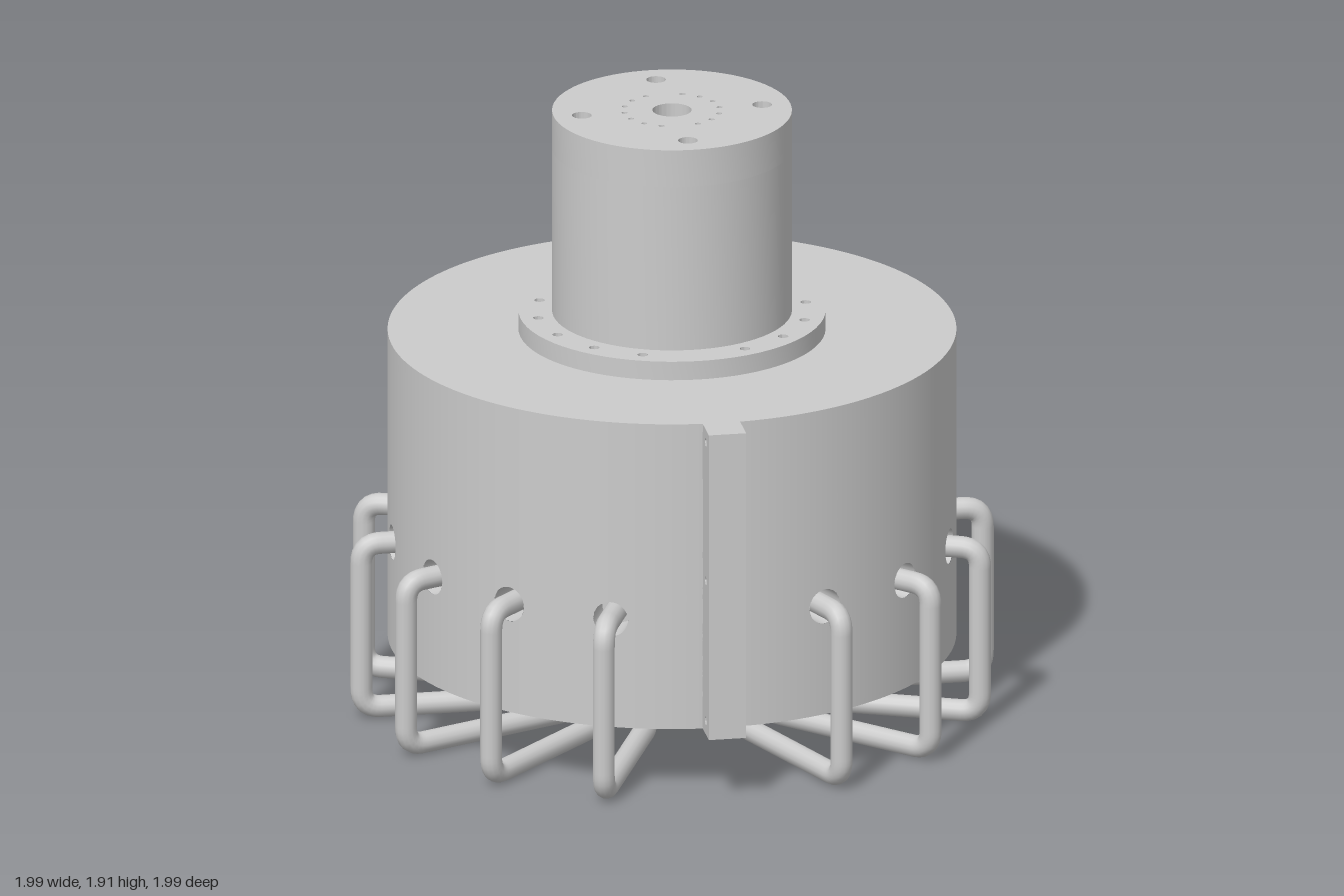
import * as THREE from 'three';
import { toCreasedNormals } from 'three/addons/utils/BufferGeometryUtils.js';

const SLOT = Math.PI / 8;              // 16 slots around the drum
const START = THREE.MathUtils.degToRad(-5.6);
const R = 0.87, BOTTOM = 0.22, TOP = 1.21, BORE = 0.06, PORT_Y = 0.57, PORT_R = 0.055;
const slotAngle = (i) => START + i * SLOT;
const isLug = (i) => i === 6 || i === 14;  // two opposite slots carry lugs
const slots = [...Array(16).keys()];
const coilAngles = slots.filter((i) => !isLug(i)).map(slotAngle);

export function createModel() {
  const model = new THREE.Group();
  const solid = new THREE.MeshStandardMaterial({ color: 0xcccccc });
  const open = new THREE.MeshStandardMaterial({ color: 0xcccccc, side: THREE.DoubleSide });

  const add = (name, geometry, parent = model, material = solid) => {
    const mesh = new THREE.Mesh(geometry, material);
    mesh.name = name;
    parent.add(mesh);
    return mesh;
  };
  const slotGroup = (name, angle) => {
    const group = new THREE.Group();
    group.name = name;
    group.rotation.y = -angle;
    model.add(group);
    return group;
  };
  const addHole = (shape, x, y, r) => shape.holes.push(new THREE.Path().absarc(x, y, r, 0, Math.PI * 2, true));
  // Upright disc with a bore and circles of holes [angles, circle radius, hole radius]
  const drilledDisc = (radius, y0, y1, circles = []) => {
    const shape = new THREE.Shape().absarc(0, 0, radius, 0, Math.PI * 2, false);
    addHole(shape, 0, 0, BORE);
    for (const [angles, cr, hr] of circles)
      for (const a of angles) addHole(shape, cr * Math.cos(a), -cr * Math.sin(a), hr);
    const geo = new THREE.ExtrudeGeometry(shape, { depth: y1 - y0, bevelEnabled: false, curveSegments: 36 });
    geo.rotateX(-Math.PI / 2).translate(0, y0, 0);
    return toCreasedNormals(geo, 0.6);
  };

  // Drum: curved wall with a round port in each slot, closed by two rings
  add('drumWall', drumWall());
  add('drumTop', new THREE.RingGeometry(BORE, R, 192).rotateX(-Math.PI / 2).translate(0, TOP, 0));
  add('drumBottom', new THREE.RingGeometry(BORE, R, 192).rotateX(Math.PI / 2).translate(0, BOTTOM, 0));
  add('centreBore', new THREE.CylinderGeometry(BORE, BORE, TOP - BOTTOM, 48, 1, true)
    .translate(0, (TOP + BOTTOM) / 2, 0), model, open);

  // Bolted flange and tower
  add('flange', drilledDisc(0.47, TOP, 1.27, [[coilAngles, 0.415, 0.016]]));
  add('tower', drilledDisc(0.367, 1.27, 1.8));
  add('towerCap', drilledDisc(0.367, 1.8, 1.92, [
    [coilAngles, 0.148, 0.009],
    [[2, 6, 10, 14].map(slotAngle), 0.28, 0.03],
  ]));

  // Bent pipes looping from the side ports to the underside
  const pipe = new THREE.TubeGeometry(
    roundedPath([[0.73, PORT_Y], [0.965, PORT_Y], [0.965, 0.04], [0.34, 0.04], [0.34, 0.3]], 0.06), 110, 0.034, 14);
  const sleeve = new THREE.CylinderGeometry(PORT_R, PORT_R, 0.13, 32, 1, true)
    .rotateZ(Math.PI / 2).translate(R - 0.066, PORT_Y, 0);
  const sleeveEnd = new THREE.CircleGeometry(PORT_R, 32).rotateY(Math.PI / 2).translate(R - 0.13, PORT_Y, 0);
  for (const angle of coilAngles) {
    const group = slotGroup('coil', angle);
    add('pipe', pipe, group);
    add('portSleeve', sleeve, group, open);
    add('portEnd', sleeveEnd, group);
  }

  // Mounting lugs with three cross holes each
  const profile = new THREE.Shape([[0.8, BOTTOM], [0.975, BOTTOM], [0.975, TOP], [0.8, TOP]]
    .map(([x, y]) => new THREE.Vector2(x, y)));
  for (const y of [0.265, 0.72, 1.17]) addHole(profile, 0.923, y, 0.013);
  const lug = toCreasedNormals(new THREE.ExtrudeGeometry(profile,
    { depth: 0.116, bevelEnabled: false, curveSegments: 12 }).translate(0, 0, -0.058), 0.6);
  for (const i of slots.filter(isLug)) add('mountingLug', lug, slotGroup('lug', slotAngle(i)));

  return model;
}

// Straight runs in the xy plane joined by rounded corners
function roundedPath(points, radius) {
  const p = points.map(([x, y]) => new THREE.Vector3(x, y, 0));
  const path = new THREE.CurvePath();
  let from = p[0];
  for (let i = 1; i < p.length - 1; i++) {
    const toward = (q) => p[i].clone().add(q.clone().sub(p[i]).setLength(radius));
    const a = toward(p[i - 1]), b = toward(p[i + 1]);
    path.add(new THREE.LineCurve3(from, a));
    path.add(new THREE.QuadraticBezierCurve3(a, p[i], b));
    from = b;
  }
  path.add(new THREE.LineCurve3(from, p[p.length - 1]));
  return path;
}

// Each slot is a web of rings from the round port out to the panel's edge, bent round the drum
function drumWall() {
  const N = 12, RINGS = 8, half = SLOT / 2 * R;
  const corners = [[-half, BOTTOM], [half, BOTTOM], [half, TOP], [-half, TOP]];
  const edge = [];
  corners.forEach(([x, y], c) => {
    const [x2, y2] = corners[(c + 1) % 4];
    for (let k = 0; k < N; k++) edge.push([x + (x2 - x) * k / N, y + (y2 - y) * k / N]);
  });
  const count = edge.length, pos = [], nor = [], index = [];
  for (const s of slots) {
    const base = pos.length / 3;
    for (let k = 0; k <= RINGS; k++) {
      for (const [ex, ey] of edge) {
        const a = Math.atan2(ey - PORT_Y, ex), t = k / RINGS;
        const u = THREE.MathUtils.lerp(PORT_R * Math.cos(a), ex, t);
        const y = THREE.MathUtils.lerp(PORT_Y + PORT_R * Math.sin(a), ey, t);
        const theta = slotAngle(s) + u / R;
        pos.push(R * Math.cos(theta), y, R * Math.sin(theta));
        nor.push(Math.cos(theta), 0, Math.sin(theta));
      }
    }
    for (let k = 0; k < RINGS; k++) {
      for (let j = 0; j < count; j++) {
        const n = (j + 1) % count;
        const a = base + k * count + j, b = base + k * count + n;
        index.push(a, b, b + count, a, b + count, a + count);
      }
    }
  }
  const geo = new THREE.BufferGeometry();
  geo.setAttribute('position', new THREE.Float32BufferAttribute(pos, 3));
  geo.setAttribute('normal', new THREE.Float32BufferAttribute(nor, 3));
  geo.setIndex(index);
  return geo;
}
